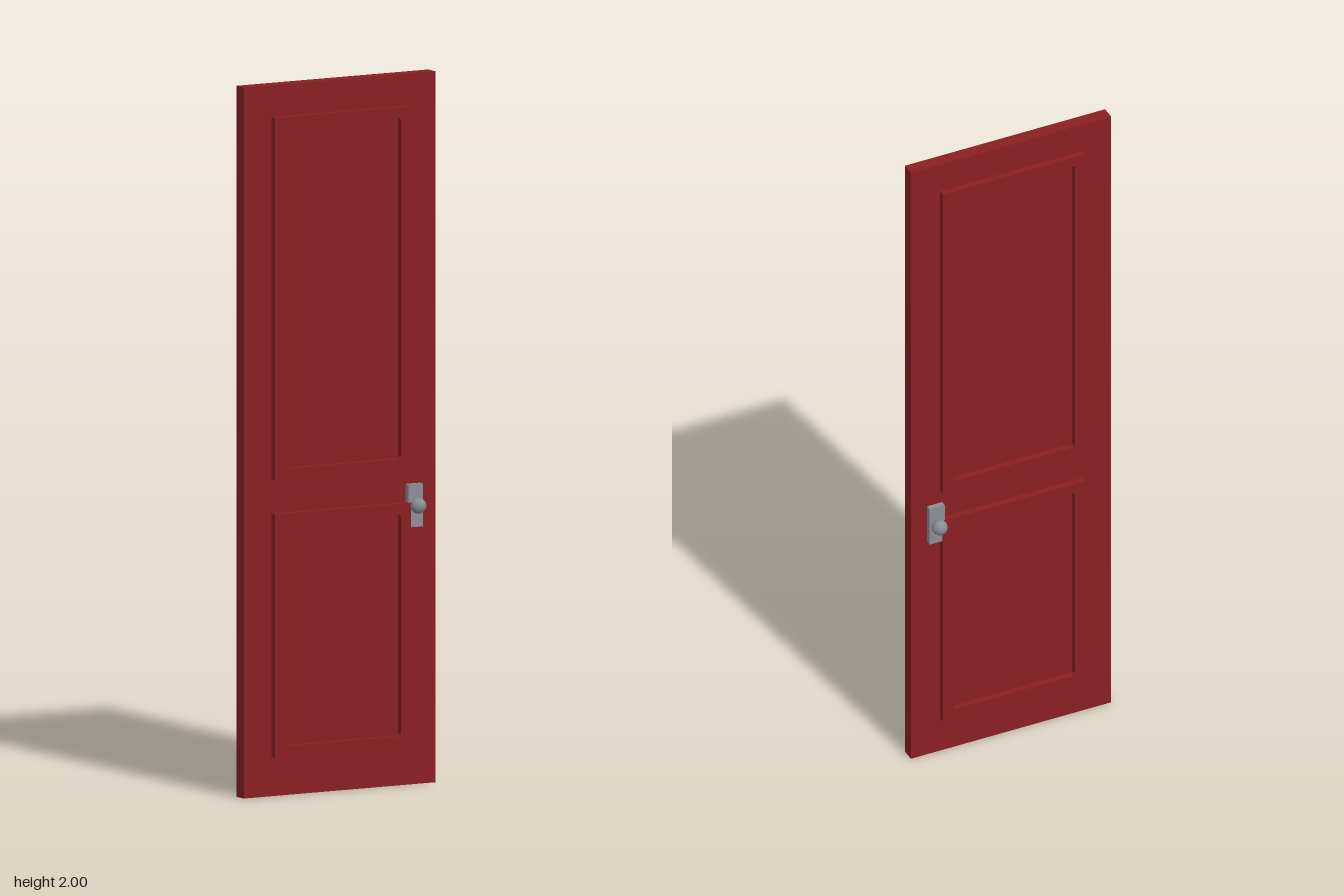
import * as THREE from 'three';

const SLAB = 0.0195;   // half thickness of the door leaf
const FRAME = 0.0375;  // how far the mouldings reach from the middle
const PLATE = 0.0355;

const red = new THREE.MeshStandardMaterial({ color: 0x8b2022 });
red.name = 'red paint';
const grey = new THREE.MeshStandardMaterial({ color: 0x8b8e96 });
grey.name = 'grey metal';

function add(parent, name, geometry, material, x, y, z) {
  const mesh = new THREE.Mesh(geometry, material);
  mesh.name = name;
  mesh.position.set(x, y, z);
  parent.add(mesh);
  return mesh;
}

// Raised rectangular moulding with a slightly cut-cornered opening
function mouldingGeometry(y0, y1) {
  const w = 0.22, b = 0.031, c = 0.005;
  const shape = new THREE.Shape([
    [-w, y0], [w, y0], [w, y1], [-w, y1],
  ].map(([x, y]) => new THREE.Vector2(x, y)));
  const iw = w - b, lo = y0 + b, hi = y1 - b;
  shape.holes.push(new THREE.Path([
    [-iw + c, lo], [-iw, lo + c], [-iw, hi - c], [-iw + c, hi],
    [iw - c, hi], [iw, hi - c], [iw, lo + c], [iw - c, lo],
  ].map(([x, y]) => new THREE.Vector2(x, y))));
  return new THREE.ExtrudeGeometry(shape, { depth: FRAME - SLAB, bevelEnabled: false });
}

export function createModel() {
  const door = new THREE.Group();
  door.name = 'door';

  add(door, 'doorLeaf', new THREE.BoxGeometry(0.62, 2, SLAB * 2), red, 0, 1, 0);

  const upper = mouldingGeometry(0.89, 1.91);
  const lower = mouldingGeometry(0.11, 0.795);
  const plate = new THREE.BoxGeometry(0.047, 0.121, PLATE - SLAB);
  const knob = new THREE.IcosahedronGeometry(0.023, 1);

  // Same fittings on the front and the back
  for (const [side, s] of [['front', 1], ['back', -1]]) {
    const z = s > 0 ? SLAB : -FRAME;
    add(door, side + 'UpperMoulding', upper, red, 0, 0, z);
    add(door, side + 'LowerMoulding', lower, red, 0, 0, z);
    add(door, side + 'LockPlate', plate, grey, 0.2365, 0.786, s * (SLAB + PLATE) / 2);
    add(door, side + 'Knob', knob, grey, 0.2365, 0.787, s * 0.051);
  }
  return door;
}
